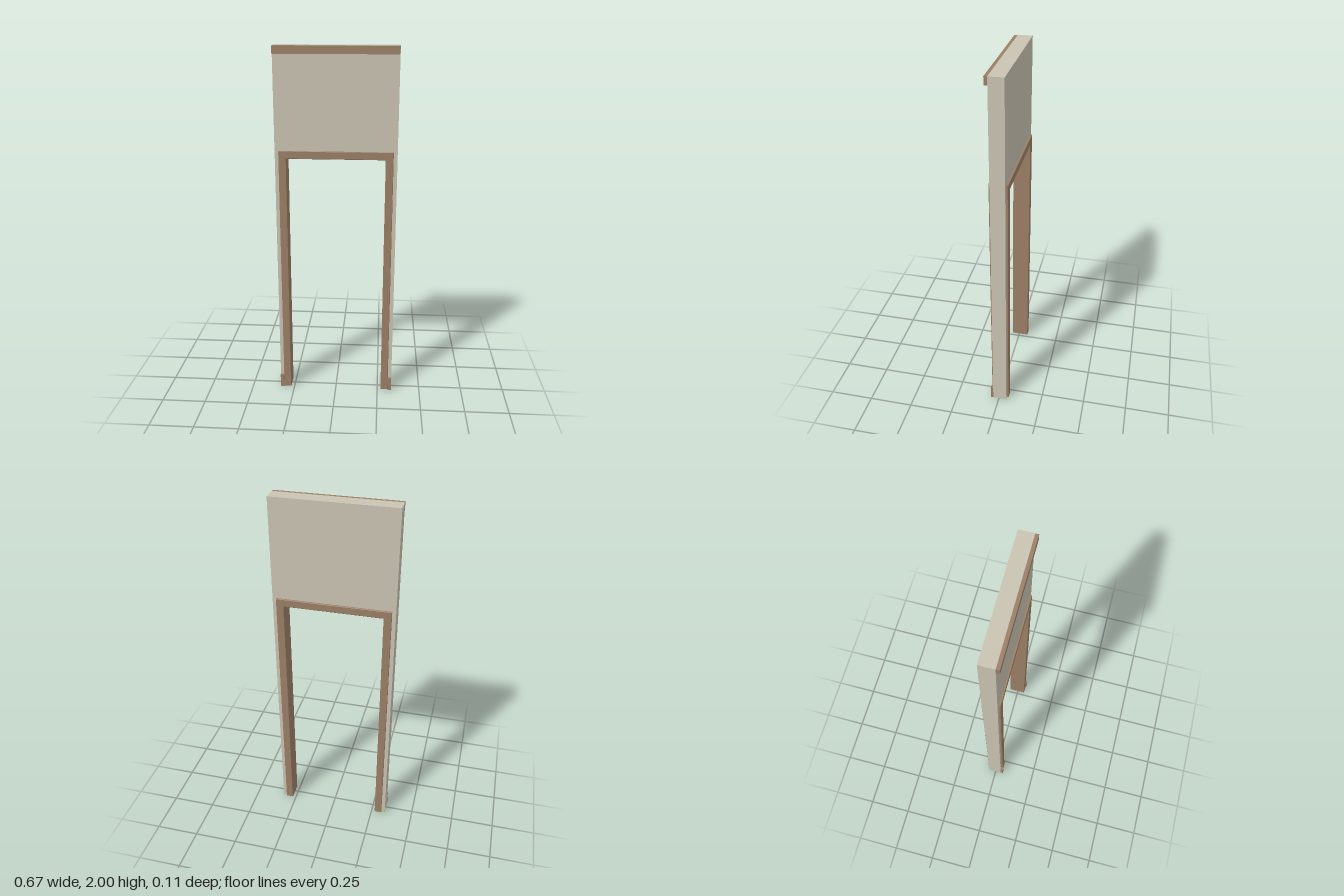
import * as THREE from 'three';

export function createModel() {
  const group = new THREE.Group();
  const plaster = new THREE.MeshStandardMaterial({ color: 0xc9c3b2 });
  plaster.name = 'plaster';
  const wood = new THREE.MeshStandardMaterial({ color: 0x9b7f66 });
  wood.name = 'wood';

  const add = (name, geometry, material) => {
    const mesh = new THREE.Mesh(geometry, material);
    mesh.name = name;
    group.add(mesh);
    return mesh;
  };
  // Box given by its lower and upper limits on each axis
  const box = (name, material, [x0, x1], [y0, y1], [z0, z1]) =>
    add(name, new THREE.BoxGeometry(x1 - x0, y1 - y0, z1 - z0), material)
      .position.set((x0 + x1) / 2, (y0 + y1) / 2, (z0 + z1) / 2);
  // Outline of a doorway frame, open at the floor
  const arch = (outerX, outerY, innerX, innerY) => new THREE.Shape([
    [-outerX, 0], [-innerX, 0], [-innerX, innerY], [innerX, innerY],
    [innerX, 0], [outerX, 0], [outerX, outerY], [-outerX, outerY],
  ].map(([x, y]) => new THREE.Vector2(x, y)));

  const wallX = 0.333, back = -0.045, front = 0.035;

  // Wall with the door opening
  const wall = new THREE.ExtrudeGeometry(arch(wallX, 2, 0.272, 1.405),
    { depth: front - back, bevelEnabled: false });
  wall.translate(0, 0, back);
  add('wall', wall, plaster);

  // Casings on both faces, with a slightly eased edge
  for (const [name, z] of [['frontCasing', front - 0.004], ['backCasing', back - 0.01]]) {
    const casing = new THREE.ExtrudeGeometry(arch(0.312, 1.446, 0.27, 1.404), {
      depth: 0.01, bevelThickness: 0.002, bevelSize: 0.002, bevelOffset: -0.002, bevelSegments: 1,
    });
    casing.translate(0, 0, z + 0.002);
    add(name, casing, wood);
  }

  for (const side of [-1, 1]) {
    const span = (a, b) => [side * a, side * b].sort((p, q) => p - q);
    // Jamb lining inside the opening
    box('jambLining', wood, span(0.27, 0.274), [0, 1.405], [back, front]);
    // Short baseboard end beside the casing
    box('baseboard', wood, span(0.312, wallX), [0, 0.077], [front, 0.05]);
  }

  // Crown strip along the top of the front face
  box('crownMoulding', wood, [-0.332, 0.332], [1.957, 1.999], [front, 0.053]);

  return group;
}
